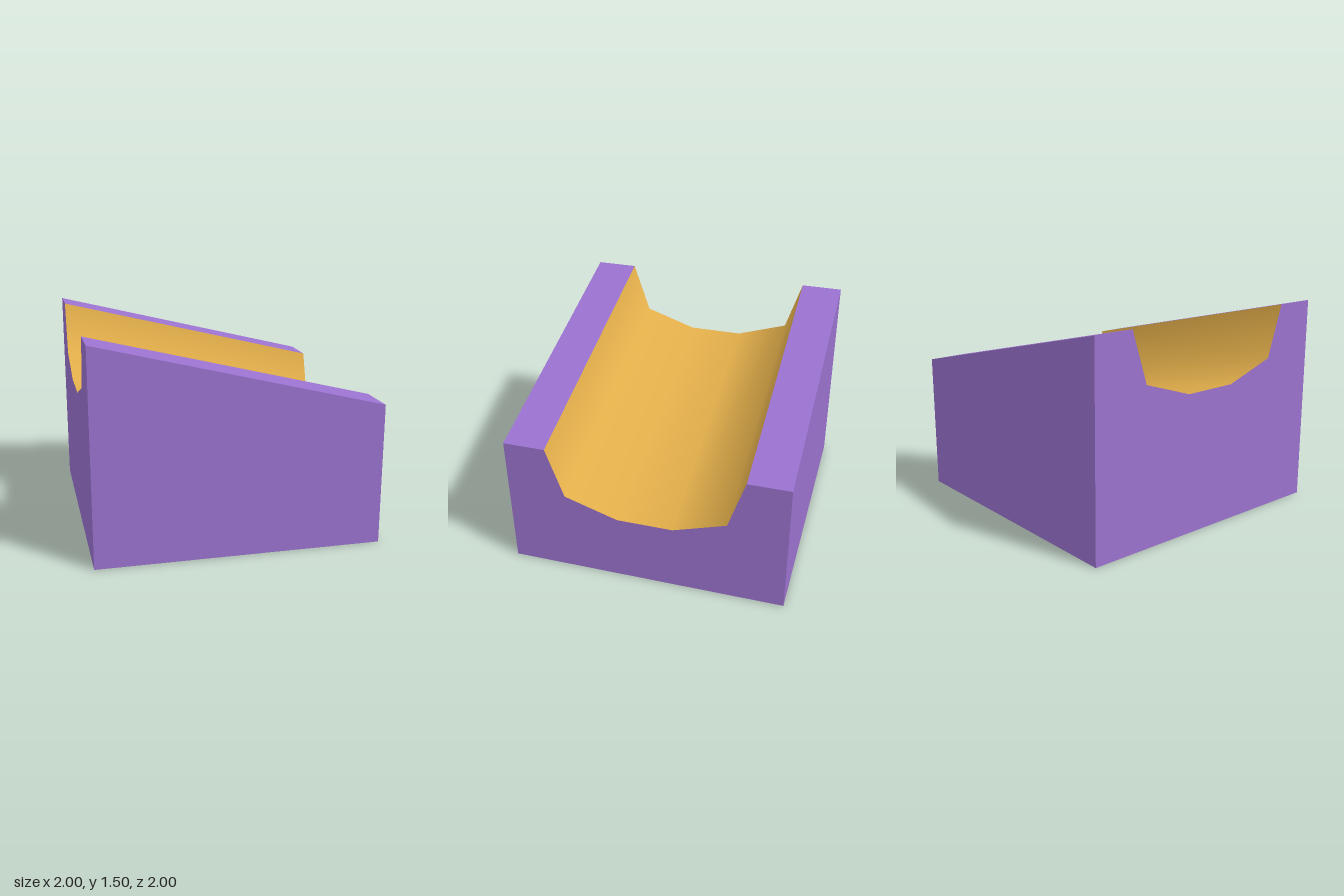
import * as THREE from 'three';

// Groove cross-section as [z, y] at the low end (x = 1), front to back
const GROOVE = [[0.7, 1], [0.58, 0.627], [0.2, 0.5], [-0.2, 0.5], [-0.58, 0.627], [-0.7, 1]];
const RISE = 0.5; // extra height of everything above the base at x = -1

const raise = (x, y) => (y > 0 ? y + RISE * (1 - x) / 2 : y);
const point = (x, [z, y]) => new THREE.Vector3(x, raise(x, y), z);

// Ruled surface along x through a front-to-back profile, facing outward
function strip(profile, smooth) {
  const faceNormals = profile.slice(1).map((b, i) => {
    const a = profile[i];
    const origin = point(1, a);
    const along = point(-1, a).sub(origin);
    return point(1, b).sub(origin).cross(along).normalize();
  });
  const vertexNormal = (i) => new THREE.Vector3()
    .add(faceNormals[Math.max(i - 1, 0)])
    .add(faceNormals[Math.min(i, faceNormals.length - 1)])
    .normalize();

  const positions = [];
  const normals = [];
  faceNormals.forEach((n, i) => {
    for (const [x, k] of [[1, 0], [1, 1], [-1, 1], [1, 0], [-1, 1], [-1, 0]]) {
      positions.push(...point(x, profile[i + k]).toArray());
      normals.push(...(smooth ? vertexNormal(i + k) : n).toArray());
    }
  });
  const geometry = new THREE.BufferGeometry();
  geometry.setAttribute('position', new THREE.Float32BufferAttribute(positions, 3));
  geometry.setAttribute('normal', new THREE.Float32BufferAttribute(normals, 3));
  return geometry;
}

// End wall with the groove cut into its top edge
function endWall(side) {
  const outline = [[1, 0], [1, 1], ...GROOVE, [-1, 1], [-1, 0]];
  const shape = new THREE.Shape(outline.map(([z, y]) => new THREE.Vector2(-side * z, raise(side, y))));
  return new THREE.ShapeGeometry(shape).rotateY(side * Math.PI / 2).translate(side, 0, 0);
}

export function createModel() {
  const purple = new THREE.MeshStandardMaterial({ color: 0x9a72ce });
  const gold = new THREE.MeshStandardMaterial({ color: 0xe2ae4a });
  purple.name = 'purple';
  gold.name = 'gold';

  const model = new THREE.Group();
  model.name = 'slopedChannelBlock';
  const add = (name, geometry, material) => {
    const mesh = new THREE.Mesh(geometry, material);
    mesh.name = name;
    model.add(mesh);
  };

  // Block: side walls with rims, base and ends
  add('frontWall', strip([[1, 0], [1, 1], [0.7, 1]], false), purple);
  add('backWall', strip([[-0.7, 1], [-1, 1], [-1, 0]], false), purple);
  add('base', strip([[-1, 0], [1, 0]], false), purple);
  add('lowEnd', endWall(1), purple);
  add('highEnd', endWall(-1), purple);

  // Smooth channel
  add('channel', strip(GROOVE, true), gold);
  return model;
}
